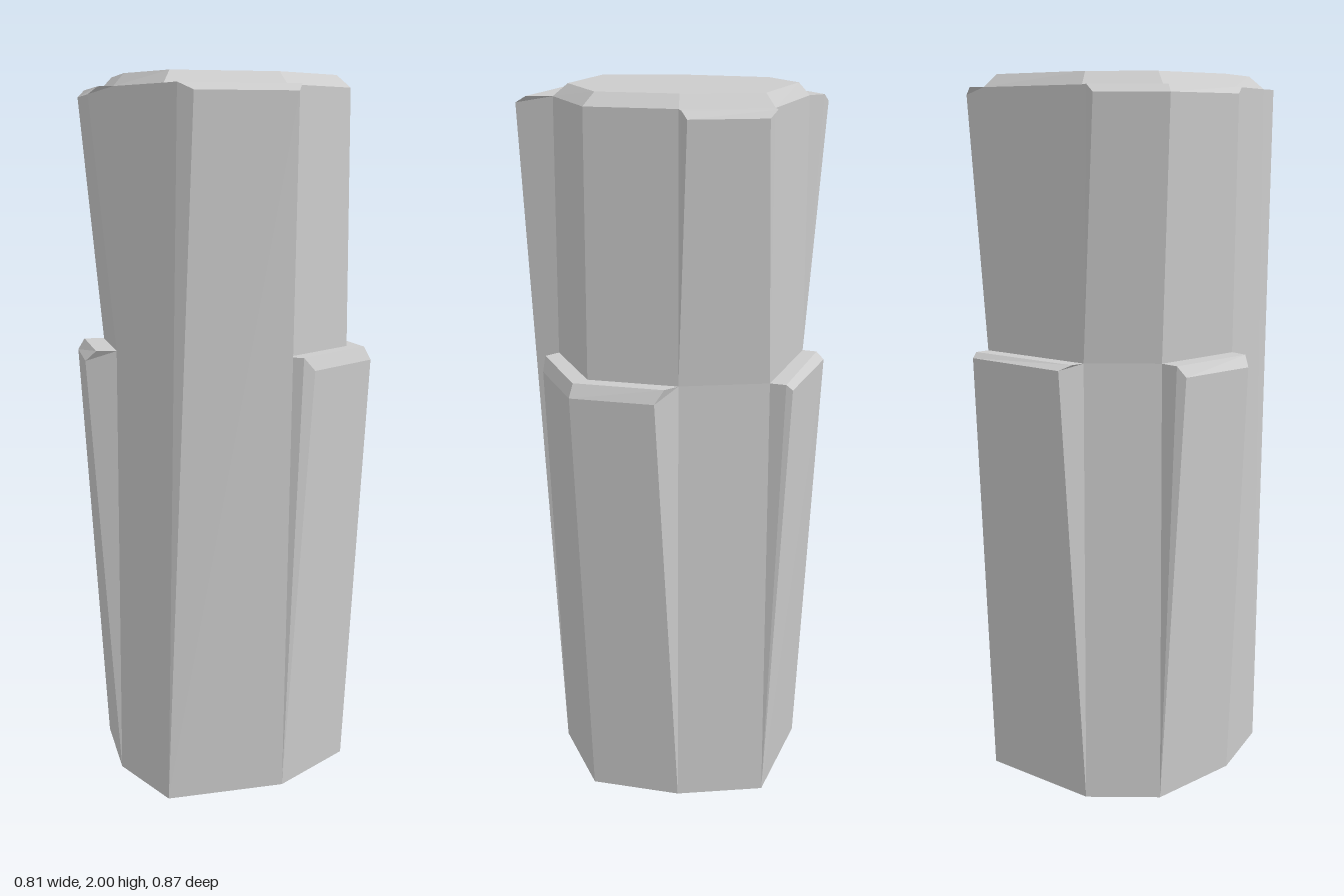
import * as THREE from 'three';

const material = new THREE.MeshStandardMaterial({ color: 0xcccccc, flatShading: true, side: THREE.DoubleSide });

// Plan corners [x, z] of the irregular eight-sided core, clockwise seen from above
const CORE = {
  a: [-0.058, -0.377], b: [0.298, -0.285], c: [0.345, -0.042], d: [0.296, 0.208],
  e: [0.021, 0.325], f: [-0.308, 0.255], g: [-0.331, -0.008], h: [-0.246, -0.286],
};
const CAP = [[-0.051, -0.346], [0.27, -0.26], [0.31, -0.042], [0.267, 0.18],
  [0.021, 0.283], [-0.275, 0.223], [-0.299, -0.008], [-0.221, -0.263]];

const SHOULDER = 1.965;
const LEDGE = 1.24;

const row = (points, y) => points.map(([x, z]) => [x, y, z]);

// Flat-shaded mesh from convex polygons
function polygonMesh(name, polygons) {
  const positions = [];
  for (const p of polygons) {
    for (let i = 1; i < p.length - 1; i++) positions.push(...p[0], ...p[i], ...p[i + 1]);
  }
  const geometry = new THREE.BufferGeometry();
  geometry.setAttribute('position', new THREE.Float32BufferAttribute(positions, 3));
  geometry.computeVertexNormals();
  const mesh = new THREE.Mesh(geometry, material);
  mesh.name = name;
  return mesh;
}

// Quads between successive rows, listed from bottom to top
function loft(rows, closed) {
  const polygons = [];
  const n = rows[0].length;
  for (let r = 0; r < rows.length - 1; r++) {
    for (let i = 0; i < (closed ? n : n - 1); i++) {
      const j = (i + 1) % n;
      polygons.push([rows[r][j], rows[r][i], rows[r + 1][i], rows[r + 1][j]]);
    }
  }
  return polygons;
}

// Slab that grows out of the core walls from nothing at "bottom" to a bevelled top
function slab({ name, corners, rim, outer, bottom, top, bevel }) {
  const base = [...corners].map((k) => CORE[k]);
  const rows = [row(base, bottom), row(outer, top - bevel), row(rim, top), row(base, top)];
  const start = rows.map((r) => r[0]).reverse();
  const end = rows.map((r) => r[r.length - 1]);
  return polygonMesh(name, [...loft(rows, false), start, end]);
}

const SLABS = [
  { name: 'frontTallSlab', corners: 'ef', bottom: 0, top: SHOULDER, bevel: 0.02,
    rim: [[0.021, 0.4], [-0.308, 0.331]], outer: [[-0.007, 0.434], [-0.278, 0.365]] },
  { name: 'frontLeftLowerSlab', corners: 'cde', bottom: 0, top: LEDGE, bevel: 0.038,
    rim: [[0.382, -0.007], [0.333, 0.243], [0.06, 0.359]],
    outer: [[0.394, 0.019], [0.35, 0.252], [0.095, 0.361]] },
  { name: 'backLowerSlab', corners: 'ab', bottom: 0, top: LEDGE, bevel: 0.015,
    rim: [[-0.044, -0.417], [0.31, -0.329]], outer: [[-0.014, -0.437], [0.31, -0.347]] },
  { name: 'rightLowerSlab', corners: 'gh', bottom: 0, top: LEDGE, bevel: 0.03,
    rim: [[-0.382, -0.035], [-0.3, -0.308]], outer: [[-0.403, -0.063], [-0.324, -0.3]] },
  { name: 'leftUpperSlab', corners: 'bc', bottom: LEDGE, top: SHOULDER, bevel: 0.02,
    rim: [[0.338, -0.292], [0.384, -0.051]], outer: [[0.361, -0.273], [0.403, -0.067]] },
  { name: 'backRightUpperSlab', corners: 'gha', bottom: LEDGE, top: SHOULDER, bevel: 0.02,
    rim: [[-0.363, -0.04], [-0.28, -0.326], [-0.093, -0.419]],
    outer: [[-0.373, -0.086], [-0.294, -0.343], [-0.118, -0.431]] },
];

export function createModel() {
  const group = new THREE.Group();
  group.name = 'rockPillar';

  // Core column: straight walls, chamfered shoulder, flat cap, open underneath
  const wall = Object.values(CORE);
  const rows = [row(wall, 0), row(wall, SHOULDER), row(CAP, 2)];
  group.add(polygonMesh('coreColumn', [...loft(rows, true), [...rows[2]].reverse()]));

  // Slabs clinging to the walls
  for (const s of SLABS) group.add(slab(s));
  return group;
}
